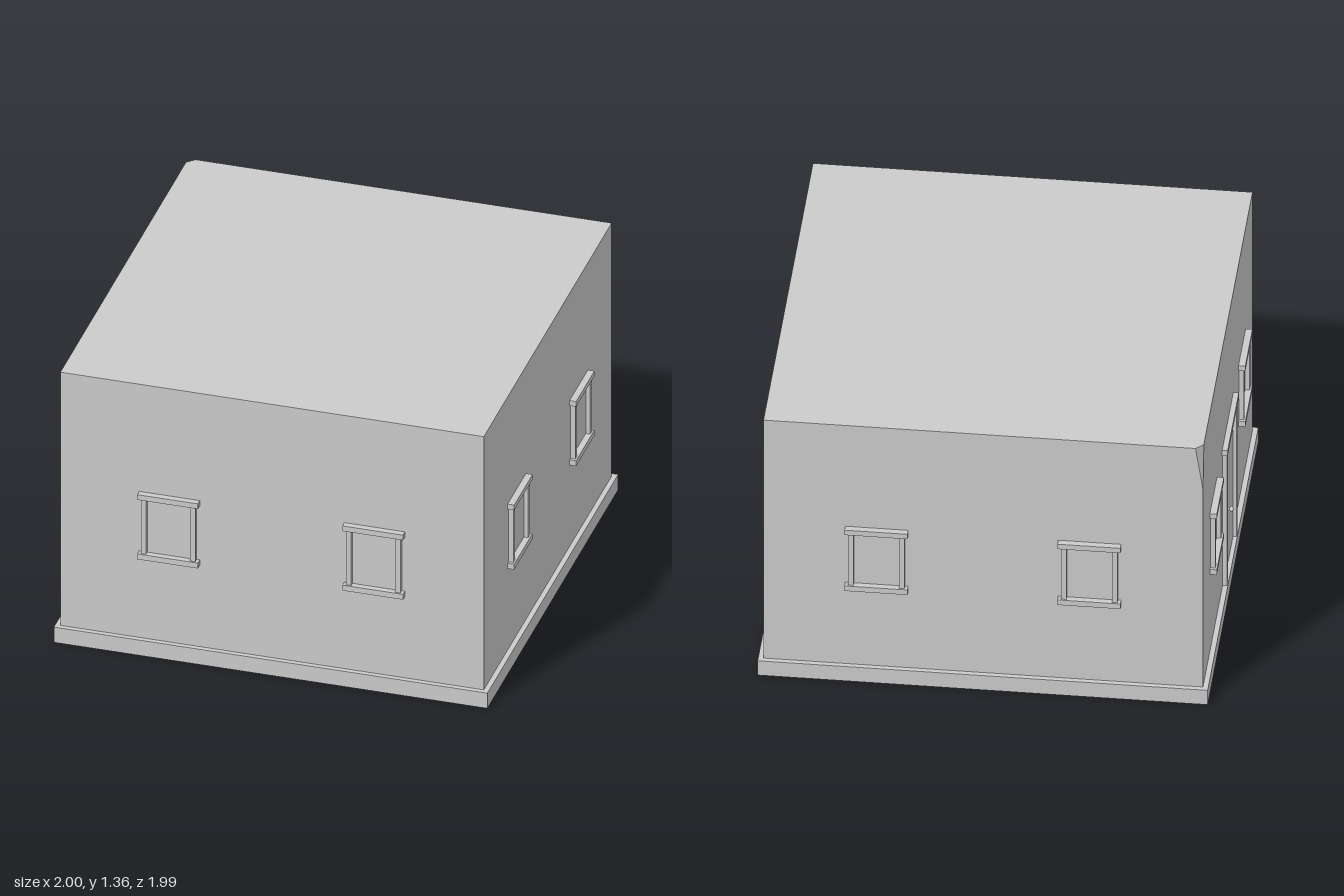
import * as THREE from 'three';
import { ConvexGeometry } from 'three/addons/geometries/ConvexGeometry.js';

const HALF = 0.964;   // half width of the walls
const TOP = 1.355;    // roof height
const PLINTH = 0.077; // plinth height
const material = new THREE.MeshStandardMaterial({ color: 0xcccccc, flatShading: true });
const smooth = new THREE.MeshStandardMaterial({ color: 0xcccccc });

// Box given by its extents: x range, y range, z range
function box(name, x0, x1, y0, y1, z0, z1) {
  const mesh = new THREE.Mesh(new THREE.BoxGeometry(x1 - x0, y1 - y0, z1 - z0), material);
  mesh.position.set((x0 + x1) / 2, (y0 + y1) / 2, (z0 + z1) / 2);
  mesh.name = name;
  return mesh;
}

// Wall block with one upper corner broken off at the back
function createWalls() {
  const points = [];
  for (const x of [-HALF, HALF]) {
    for (const z of [-HALF, HALF]) {
      points.push(new THREE.Vector3(x, PLINTH, z));
      if (x > 0 || z > 0) points.push(new THREE.Vector3(x, TOP, z));
    }
  }
  const chip = 0.033;
  points.push(
    new THREE.Vector3(-HALF + chip, TOP, -HALF),
    new THREE.Vector3(-HALF, TOP, -HALF + chip),
    new THREE.Vector3(-HALF, TOP - 0.22, -HALF)
  );
  const mesh = new THREE.Mesh(new ConvexGeometry(points), material);
  mesh.name = 'walls';
  return mesh;
}

// Window frame facing +z, standing on the wall plane z = 0
function createWindow() {
  const g = new THREE.Group();
  g.name = 'window';
  g.add(box('windowLintel', -0.138, 0.138, 0.788, 0.814, -0.01, 0.03));
  g.add(box('windowSill', -0.138, 0.138, 0.488, 0.515, -0.01, 0.03));
  for (const s of [-1, 1]) {
    const a = s * 0.1, b = s * 0.124;
    g.add(box('windowJamb', Math.min(a, b), Math.max(a, b), 0.515, 0.788, -0.01, 0.022));
  }
  g.add(box('windowPane', -0.1, 0.1, 0.515, 0.788, -0.01, 0.002));
  return g;
}

// Door with frame and knob, facing +z like the windows
function createDoor() {
  const g = new THREE.Group();
  g.name = 'door';
  g.add(box('doorLintel', -0.218, 0.218, 0.785, 0.814, -0.01, 0.024));
  for (const s of [-1, 1]) {
    const a = s * 0.168, b = s * 0.2;
    g.add(box('doorJamb', Math.min(a, b), Math.max(a, b), PLINTH, 0.785, -0.01, 0.02));
  }
  g.add(box('doorPanel', -0.168, 0.168, PLINTH, 0.785, -0.01, 0.004));

  const stem = new THREE.Mesh(new THREE.CylinderGeometry(0.006, 0.006, 0.022, 12), smooth);
  stem.rotation.x = Math.PI / 2;
  stem.position.set(-0.118, 0.43, 0.014);
  stem.name = 'knobStem';
  const knob = new THREE.Mesh(new THREE.SphereGeometry(0.013, 16, 12), smooth);
  knob.scale.z = 0.7;
  knob.position.set(-0.118, 0.43, 0.03);
  knob.name = 'doorKnob';
  g.add(stem, knob);
  return g;
}

export function createModel() {
  const building = new THREE.Group();
  building.name = 'building';
  building.add(box('plinth', -0.987, 0.987, 0, PLINTH, -0.987, 0.987));
  building.add(createWalls());

  // Two windows on each of the four sides, and the door on the -x side
  for (let i = 0; i < 4; i++) {
    const side = new THREE.Group();
    side.name = ['frontSide', 'leftSide', 'backSide', 'rightSide'][i];
    side.rotation.y = i * Math.PI / 2;
    const spacing = i === 3 ? 0.556 : 0.467;
    for (const s of [-1, 1]) {
      const w = createWindow();
      w.position.set(s * spacing, 0, HALF);
      side.add(w);
    }
    if (i === 3) {
      const door = createDoor();
      door.position.z = HALF;
      side.add(door);
    }
    building.add(side);
  }

  building.position.x = 0.003;
  const model = new THREE.Group();
  model.name = 'house';
  model.add(building);
  return model;
}
